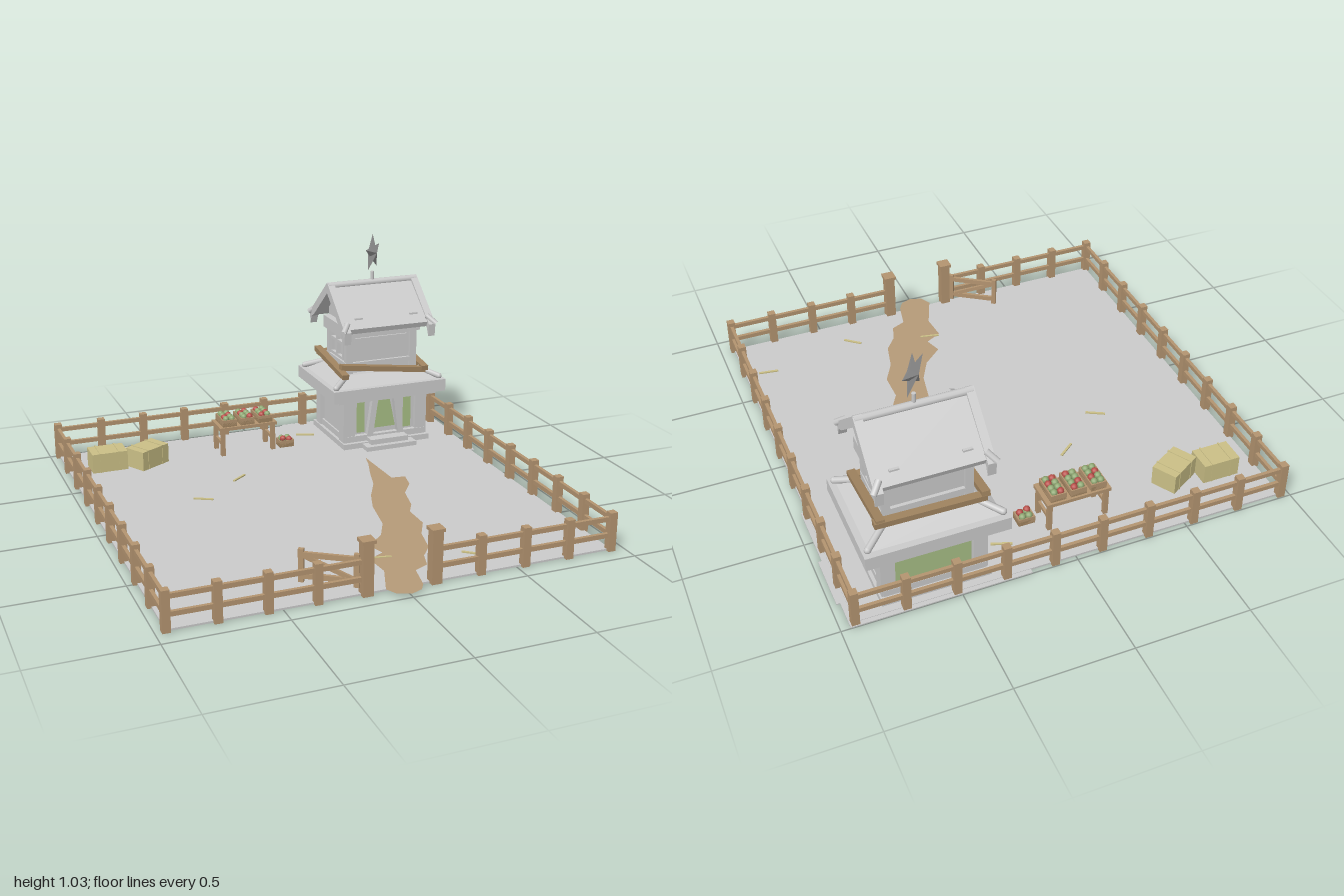
import * as THREE from 'three';

const mat = (name, color, opts = {}) => {
  const m = new THREE.MeshStandardMaterial({ color, ...opts });
  m.name = name;
  return m;
};

export function createModel() {
  const stone = mat('pale stone', 0xcacaca);
  const steel = mat('star grey', 0x949494, { flatShading: true });
  const wood = mat('fence wood', 0xb39470);
  const oldWood = mat('weathered wood', 0x9f835f);
  const dirt = mat('path dirt', 0xb59a78, { side: THREE.DoubleSide });
  const hay = mat('hay', 0xcabf86);
  const green = mat('green panel', 0xa6bd84);
  const red = mat('red apple', 0xb9504a);
  const lime = mat('green apple', 0x8fa873);

  const root = new THREE.Group();
  root.name = 'farmyard';
  const group = (name, parent = root) => {
    const g = new THREE.Group();
    g.name = name;
    parent.add(g);
    return g;
  };
  const add = (parent, name, geo, material, x = 0, y = 0, z = 0) => {
    const m = new THREE.Mesh(geo, material);
    m.name = name;
    m.position.set(x, y, z);
    parent.add(m);
    return m;
  };
  // Box given by its centre in x and z and its bottom height
  const box = (parent, name, material, w, h, d, x, y, z) =>
    add(parent, name, new THREE.BoxGeometry(w, h, d), material, x, y + h / 2, z);
  // Square beam between two points
  const beam = (parent, name, material, a, b, w, h) => {
    const p = new THREE.Vector3(...a), q = new THREE.Vector3(...b);
    const m = new THREE.Mesh(new THREE.BoxGeometry(w, h, p.distanceTo(q)), material);
    m.name = name;
    m.position.copy(p).add(q).multiplyScalar(0.5);
    m.lookAt(q);
    parent.add(m);
  };

  // Ground, thin slab by the house and dirt path
  const L = -0.958, R = 0.937, B = -0.98, F = 0.913;
  box(root, 'ground', stone, R - L, 0.008, F - B, (L + R) / 2, 0, (B + F) / 2);
  box(root, 'houseSlab', stone, 0.76, 0.005, 0.68, 0.58, 0.001, -0.66);
  box(root, 'sideSlab', stone, 0.06, 0.005, 0.245, 0.945, 0.001, -0.742);
  const path = [[0.41, -0.4], [0.42, -0.12], [0.485, -0.11], [0.465, -0.02], [0.4, 0.07], [0.37, 0.2],
    [0.33, 0.27], [0.33, 0.4], [0.275, 0.5], [0.245, 0.63], [0.19, 0.7], [0.165, 0.78], [0.1, 0.81],
    [0.075, 0.93], [0.05, 0.97], [0, 0.99], [-0.055, 0.97], [-0.08, 0.92], [-0.02, 0.77], [-0.03, 0.65],
    [0.045, 0.61], [0.02, 0.53], [0.11, 0.45], [0.165, 0.345], [0.2, 0.16], [0.245, 0.04], [0.31, -0.08],
    [0.35, -0.21], [0.39, -0.32]];
  const pathShape = new THREE.Shape(path.map(([x, z]) => new THREE.Vector2(x, -z)));
  add(root, 'dirtPath', new THREE.ShapeGeometry(pathShape).rotateX(-Math.PI / 2), dirt, 0, 0.011, 0);

  // Loose straws: x, z, turn
  [[-0.24, -0.38, 0.65], [-0.47, -0.2, -0.5], [0.255, -0.81, -0.35], [0.02, 0.65, -0.2],
    [0.385, 0.75, -0.7], [0.83, 0.67, -0.15]].forEach(([x, z, a]) => {
    box(root, 'straw', hay, 0.09, 0.006, 0.01, x, 0.008, z).rotation.y = a;
  });

  // Fence: evenly spaced posts and two rails per run
  const fence = group('fence');
  const run = (x0, z0, x1, z1, n) => {
    for (let i = 0; i <= n; i++) {
      box(fence, 'fencePost', wood, 0.033, 0.172, 0.033, x0 + (x1 - x0) * i / n, 0, z0 + (z1 - z0) * i / n);
    }
    for (const y of [0.07, 0.143]) beam(fence, 'fenceRail', wood, [x0, y, z0], [x1, y, z1], 0.015, 0.02);
  };
  run(L, B, R, B, 9);
  run(L, B, L, F, 9);
  run(R, B, R, F, 9);
  run(L, F, -0.36, F, 3);
  run(0.335, F, R, F, 3);
  for (const [x, inner] of [[-0.16, -0.36], [0.133, 0.335]]) {
    box(fence, 'gatePost', wood, 0.045, 0.23, 0.045, x, 0, F);
    box(fence, 'gatePostCap', wood, 0.057, 0.014, 0.057, x, 0.222, F);
    for (const y of [0.07, 0.143]) beam(fence, 'fenceRail', wood, [x, y, F], [inner, y, F], 0.015, 0.02);
  }

  // Open gate, swung into the yard
  const gate = group('gate');
  gate.position.set(-0.175, 0, 0.905);
  gate.rotation.y = Math.PI - 0.6;
  for (const y of [0.045, 0.135]) box(gate, 'gateRail', wood, 0.25, 0.022, 0.014, 0.125, y, 0);
  for (const x of [0.02, 0.24]) box(gate, 'gateUpright', wood, 0.022, 0.14, 0.018, x, 0.03, 0);
  beam(gate, 'gateBrace', wood, [0.02, 0.055, 0], [0.24, 0.145, 0], 0.012, 0.018);

  // Hay bales with raised bands
  for (const [x, z, a] of [[-0.775, -0.745, 0], [-0.587, -0.722, 0.52]]) {
    const bale = group('hayBale');
    bale.position.set(x, 0, z);
    bale.rotation.y = a;
    box(bale, 'bale', hay, 0.168, 0.1, 0.115, 0, 0, 0);
    for (const s of [-1, 1]) box(bale, 'baleBand', hay, 0.008, 0.103, 0.12, s * 0.045, 0, 0);
  }

  // Market table with crates of apples
  const stall = group('marketStall');
  box(stall, 'tableTop', wood, 0.29, 0.016, 0.142, -0.09, 0.137, -0.745);
  for (const x of [-0.218, 0.038]) {
    for (const z of [-0.8, -0.69]) box(stall, 'tableLeg', wood, 0.02, 0.138, 0.02, x, 0, z);
    box(stall, 'tableBrace', wood, 0.012, 0.016, 0.11, x, 0.06, -0.745);
  }
  const apple = new THREE.SphereGeometry(0.0155, 10, 7);
  const crate = (x, y, z, w, d, rows) => {
    const c = group('appleCrate', stall);
    c.position.set(x, y, z);
    box(c, 'crateBottom', oldWood, w, 0.02, d, 0, 0, 0);
    for (const s of [-1, 1]) {
      box(c, 'crateSide', wood, 0.006, 0.034, d, s * (w / 2 - 0.003), 0, 0);
      box(c, 'crateEnd', wood, w, 0.034, 0.006, 0, 0, s * (d / 2 - 0.003));
    }
    for (let i = 0; i < rows * 2; i++) {
      const row = Math.floor(i / 2);
      add(c, 'apple', apple, (i * 5 + row + Math.round(x * 20)) % 3 === 0 ? red : lime,
        (i % 2 - 0.5) * 0.03, 0.035, (row - (rows - 1) / 2) * 0.028);
    }
  };
  for (const x of [-0.182, -0.091, 0]) crate(x, 0.153, -0.745, 0.07, 0.122, 4);
  crate(0.112, 0.008, -0.715, 0.074, 0.06, 2);
  add(stall, 'apple', apple, red, 0.095, 0.05, -0.7);

  // House, lower floor
  const house = group('house');
  house.position.set(0.585, 0, -0.742);
  box(house, 'plinth', stone, 0.46, 0.035, 0.41, 0, 0, 0);
  box(house, 'plinthTop', stone, 0.43, 0.03, 0.37, 0, 0.035, 0);
  box(house, 'lowerStep', stone, 0.265, 0.03, 0.1, 0, 0, 0.217);
  box(house, 'upperStep', stone, 0.2, 0.055, 0.08, 0, 0, 0.2);
  box(house, 'lowerWall', stone, 0.4, 0.26, 0.32, 0, 0, 0);
  for (const x of [-1, 1]) {
    for (const z of [-1, 1]) box(house, 'cornerPost', stone, 0.06, 0.26, 0.06, x * 0.193, 0, z * 0.152);
    box(house, 'sidePanel', stone, 0.02, 0.17, 0.2, x * 0.202, 0.07, 0);
    box(house, 'frontGreenStrip', green, 0.04, 0.18, 0.006, x * 0.125, 0.075, 0.163);
    beam(house, 'doorPillar', stone, [x * 0.085, 0.04, 0.17], [x * 0.055, 0.26, 0.17], 0.035, 0.03);
  }
  const door = new THREE.Shape([[-0.06, 0.09], [0.06, 0.09], [0.025, 0.255], [-0.025, 0.255]]
    .map((p) => new THREE.Vector2(...p)));
  add(house, 'doorGreen', new THREE.ExtrudeGeometry(door, { depth: 0.006, bevelEnabled: false }), green, 0, 0, 0.16);
  box(house, 'backGreen', green, 0.32, 0.17, 0.006, 0, 0.075, -0.163);

  // Platform with a low hipped skirt and corner logs
  box(house, 'platform', stone, 0.595, 0.06, 0.485, 0, 0.265, -0.002);
  box(house, 'platformUnderside', stone, 0.52, 0.02, 0.42, 0, 0.247, 0);
  const skirt = new THREE.BoxGeometry(0.54, 0.045, 0.43);
  const sp = skirt.attributes.position;
  for (let i = 0; i < sp.count; i++) {
    if (sp.getY(i) > 0) sp.setXYZ(i, sp.getX(i) * 0.74, sp.getY(i), sp.getZ(i) * 0.66);
  }
  skirt.computeVertexNormals();
  add(house, 'skirtRoof', skirt, stone, 0, 0.3475, 0);
  const round = (parent, name, a, b, r) => add(parent, name,
    new THREE.TubeGeometry(new THREE.LineCurve3(new THREE.Vector3(...a), new THREE.Vector3(...b)), 1, r, 8), stone);
  for (const x of [-1, 1]) {
    for (const z of [-1, 1]) {
      round(house, 'hipLog', [x * 0.275, 0.335, z * 0.21], [x * 0.19, 0.37, z * 0.14], 0.015);
      add(house, 'hipLogEnd', new THREE.SphereGeometry(0.015, 8, 6), stone, x * 0.275, 0.335, z * 0.21);
    }
  }

  // Upper floor
  box(house, 'upperWall', stone, 0.34, 0.3, 0.22, 0, 0.33, 0);
  box(house, 'upperSill', stone, 0.38, 0.02, 0.25, 0, 0.405, 0);
  box(house, 'frontSill', wood, 0.38, 0.016, 0.27, 0, 0.335, 0);
  box(house, 'cornice', stone, 0.42, 0.06, 0.235, 0, 0.555, 0);
  for (const s of [-1, 1]) {
    for (const z of [-1, 1]) box(house, 'upperPost', stone, 0.035, 0.24, 0.035, s * 0.17, 0.37, z * 0.11);
    box(house, 'sideGreen', green, 0.006, 0.03, 0.2, s * 0.187, 0.348, 0);
    // Cross-barred side windows
    for (const z of [-0.075, 0, 0.075]) box(house, 'windowBar', stone, 0.02, 0.16, 0.014, s * 0.177, 0.43, z);
    for (const y of [0.43, 0.505, 0.58]) box(house, 'windowRail', stone, 0.02, 0.014, 0.16, s * 0.177, y, 0);
    box(house, 'wallFrame', stone, 0.28, 0.015, 0.012, 0, 0.53, s * 0.113);
  }
  // Crooked balcony planks
  [[[-0.235, 0.425, 0.165], [0.215, 0.365, 0.165]], [[0.21, 0.375, 0.185], [0.21, 0.425, -0.185]],
    [[0.235, 0.415, -0.17], [-0.22, 0.405, -0.17]], [[-0.215, 0.375, 0.185], [-0.215, 0.425, -0.185]],
  ].forEach(([a, b]) => beam(house, 'balconyPlank', oldWood, a, b, 0.035, 0.025));

  // Roof: gable, slopes, and curled end boards
  const along = (pts, len, name, x) => {
    const s = new THREE.Shape(pts.map((p) => new THREE.Vector2(...p)));
    const g = new THREE.ExtrudeGeometry(s, { depth: len, bevelEnabled: false });
    add(house, name, g.translate(0, 0, -len / 2).rotateY(Math.PI / 2), stone, x, 0, 0);
  };
  along([[-0.13, 0.6], [0.13, 0.6], [0.13, 0.66], [0, 0.77], [-0.13, 0.66]], 0.35, 'gableWall', 0);
  along([[0, 0.795], [-0.21, 0.62], [-0.2, 0.595], [0, 0.755], [0.2, 0.595], [0.21, 0.62]], 0.42, 'roofSlopes', 0);
  for (const s of [-1, 1]) {
    along([[0, 0.808], [-0.2, 0.635], [-0.228, 0.61], [-0.222, 0.55], [-0.205, 0.59], [-0.17, 0.61], [0, 0.755],
      [0.17, 0.61], [0.205, 0.59], [0.222, 0.55], [0.228, 0.61], [0.2, 0.635]], 0.035, 'endBoard', s * 0.222);
    for (const z of [-1, 1]) {
      round(house, 'eaveCurl', [s * 0.21, 0.645, z * 0.19], [s * 0.245, 0.61, z * 0.225], 0.014);
      box(house, 'roofSlot', stone, 0.04, 0.008, 0.012, s * 0.145, 0.656, z * 0.172);
    }
  }
  add(house, 'ridge', new THREE.CylinderGeometry(0.017, 0.017, 0.47, 10).rotateZ(Math.PI / 2), stone, 0, 0.79, 0);
  add(house, 'finial', new THREE.CylinderGeometry(0.009, 0.009, 0.05, 8), stone, 0, 0.82, 0);

  // Faceted star, turned 45 degrees
  const verts = [];
  const pt = (i) => {
    const a = Math.PI / 2 + i * Math.PI / 5, r = i % 2 ? 0.038 : 0.094;
    return [Math.cos(a) * r, Math.sin(a) * r, 0];
  };
  for (let i = 0; i < 10; i++) {
    verts.push(...pt(i), ...pt(i + 1), 0, 0, 0.024, ...pt(i + 1), ...pt(i), 0, 0, -0.024);
  }
  const starGeo = new THREE.BufferGeometry();
  starGeo.setAttribute('position', new THREE.Float32BufferAttribute(verts, 3));
  starGeo.computeVertexNormals();
  add(house, 'star', starGeo, steel, 0, 0.937, 0).rotation.y = Math.PI / 4;

  return root;
}
